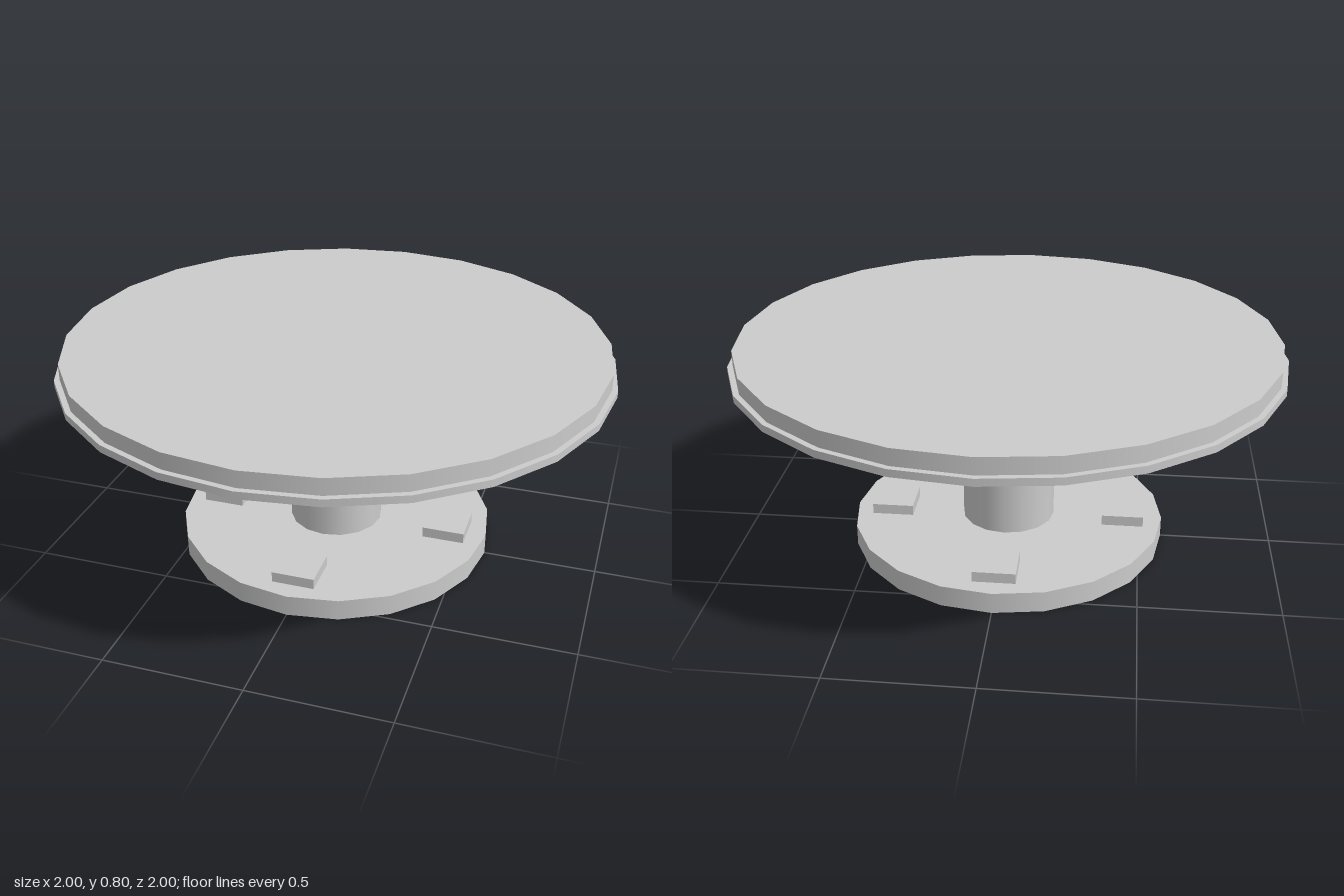
import * as THREE from 'three';

export function createModel() {
  const model = new THREE.Group();
  model.name = 'pedestalTable';
  const grey = new THREE.MeshStandardMaterial({ color: 0xcccccc });
  grey.name = 'plain grey';

  const add = (name, geometry, x, y, z) => {
    const mesh = new THREE.Mesh(geometry, grey);
    mesh.name = name;
    mesh.position.set(x, y, z);
    model.add(mesh);
  };
  // upright disc between two heights
  const disc = (name, radius, y0, y1, sides) =>
    add(name, new THREE.CylinderGeometry(radius, radius, y1 - y0, sides), 0, (y0 + y1) / 2, 0);

  disc('base', 0.587, 0, 0.078, 20);
  disc('column', 0.174, 0.078, 0.717, 16);

  // table top with a slightly wider rim underneath
  disc('topRim', 1, 0.717, 0.743, 24);
  disc('tableTop', 0.98, 0.743, 0.802, 24);

  // four square mounting blocks around the column
  const block = new THREE.BoxGeometry(0.155, 0.039, 0.155);
  for (const [x, z] of [[1, 0], [-1, 0], [0, 1], [0, -1]]) {
    add('mountingBlock', block, x * 0.439, 0.0975, z * 0.439);
  }
  return model;
}
